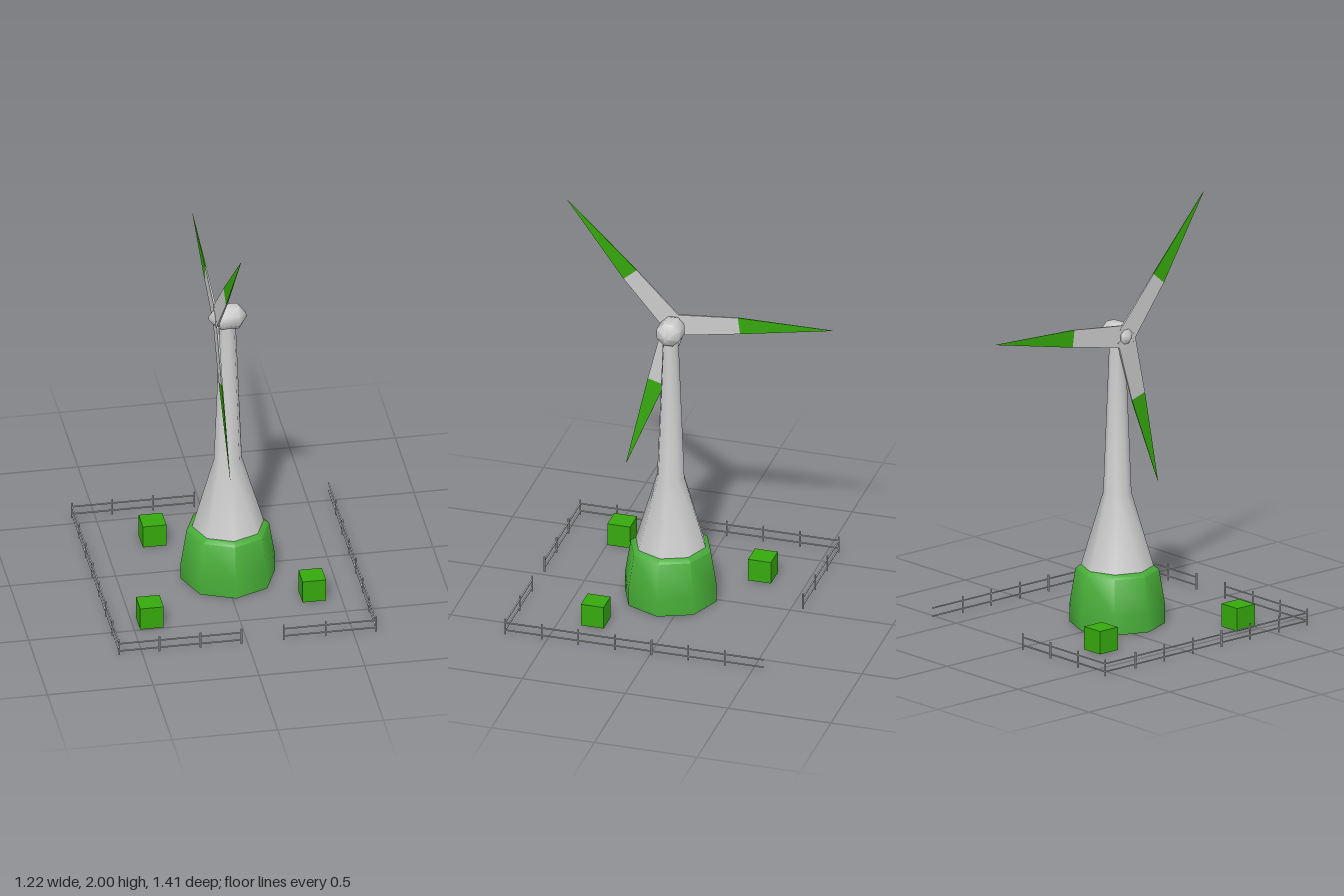
import * as THREE from 'three';
import { toCreasedNormals } from 'three/addons/utils/BufferGeometryUtils.js';

const grey = new THREE.MeshStandardMaterial({ color: 0xcccccc });
const green = new THREE.MeshStandardMaterial({ color: 0x36a80d });
const paleGreen = new THREE.MeshStandardMaterial({ color: 0x48ad38 });

const HUB = new THREE.Vector3(-0.042, 1.402, 0.074);

function add(parent, name, geometry, material, x = 0, y = 0, z = 0) {
  const mesh = new THREE.Mesh(geometry, material);
  mesh.name = name;
  mesh.position.set(x, y, z);
  parent.add(mesh);
  return mesh;
}

// Eight-sided turned body, smooth around, sharp at the rims
function turned(profile) {
  const points = profile.map(([r, y]) => new THREE.Vector2(r, y));
  return toCreasedNormals(new THREE.LatheGeometry(points, 8), 0.9);
}

// Same, laid along the x axis with a flat on top
const turnedAlongX = (profile) =>
  turned(profile).rotateY(Math.PI / 8).rotateZ(-Math.PI / 2);

// Thin tapering slab: each station is [distance, edge, edge, x, half thickness]
function bladeSection(stations) {
  const pos = [], index = [];
  for (const [r, w0, w1, x, t] of stations) {
    pos.push(x - t, w0, r, x + t, w0, r, x + t, w1, r, x - t, w1, r);
  }
  for (let i = 0; i < 4; i++) {
    const j = (i + 1) % 4;
    index.push(i, j, i + 4, j, j + 4, i + 4);
  }
  index.push(0, 2, 1, 0, 3, 2, 4, 5, 6, 4, 6, 7);
  const g = new THREE.BufferGeometry();
  g.setAttribute('position', new THREE.Float32BufferAttribute(pos, 3));
  g.setIndex(index);
  const flat = g.toNonIndexed();
  flat.computeVertexNormals();
  return flat;
}

// Straight fence run between two ground points: two rails, and posts at
// the given distances from the first point
function fence(name, x0, z0, x1, z1, posts) {
  const run = new THREE.Group();
  run.name = name;
  const length = Math.hypot(x1 - x0, z1 - z0);
  const rail = z0 === z1
    ? new THREE.BoxGeometry(length, 0.005, 0.006)
    : new THREE.BoxGeometry(0.006, 0.005, length);
  for (const y of [0.023, 0.062]) {
    add(run, 'rail', rail, grey, (x0 + x1) / 2, y, (z0 + z1) / 2);
  }
  const post = new THREE.CylinderGeometry(0.004, 0.004, 0.08, 8);
  for (const d of posts) {
    const t = d / length;
    add(run, 'post', post, grey, x0 + (x1 - x0) * t, 0.042, z0 + (z1 - z0) * t);
  }
  return run;
}

export function createModel() {
  const model = new THREE.Group();
  model.name = 'windTurbine';

  // Tower
  const tower = new THREE.Group();
  tower.name = 'tower';
  tower.position.set(0.017, 0, 0.075);
  model.add(tower);
  add(tower, 'base', turned([[0, 0.002], [0.223, 0.002], [0.223, 0.09], [0.195, 0.262], [0.172, 0.28], [0, 0.28]]), paleGreen);
  add(tower, 'mast', turned([[0.17, 0.279], [0.066, 0.635], [0.037, 1.37], [0, 1.37]]), grey);

  // Nacelle and hub
  add(model, 'nacelle', turnedAlongX([
    [0, -0.03], [0.052, -0.03], [0.062, -0.008], [0.06, 0.066], [0.012, 0.103], [0, 0.104],
  ]), grey, 0, HUB.y, HUB.z);
  add(model, 'hub', turnedAlongX([
    [0, -0.075], [0.008, -0.074], [0.037, -0.048], [0.034, -0.029], [0, -0.029],
  ]), grey, 0, HUB.y, HUB.z);

  // Three blades with coloured tips
  const root = [0.005, -0.054, 0.053, 0, 0.005];
  const middle = [0.32, -0.048, 0.036, 0.01, 0.003];
  const tip = [0.784, -0.001, 0.001, 0.03, 0.0005];
  const innerBlade = bladeSection([root, middle]);
  const outerBlade = bladeSection([middle, tip]);
  for (const degrees of [49.4, 172.3, 286.8]) {
    const blade = new THREE.Group();
    blade.name = 'blade';
    blade.position.copy(HUB);
    blade.rotation.x = -THREE.MathUtils.degToRad(degrees);
    add(blade, 'bladeRoot', innerBlade, grey);
    add(blade, 'bladeTip', outerBlade, green);
    model.add(blade);
  }

  // Crates
  const crate = new THREE.BoxGeometry(0.111, 0.111, 0.111);
  for (const [x, z] of [[-0.275, -0.285], [-0.417, 0.442], [0.37, 0.334]]) {
    add(model, 'crate', crate, green, x, 0.059, z);
  }

  // Fences around the yard, with gaps at the front and back
  const left = 0.606, right = -0.608, front = 0.703, back = -0.554;
  const sidePosts = Array.from({ length: 7 }, (_, i) => i * 0.178);
  const shortPosts = [0, 0.19, 0.384, 0.578];
  model.add(
    fence('rightFence', right, front, right, back, sidePosts),
    fence('leftFence', left, front, left, back, sidePosts),
    fence('backFence', right, back, -0.03, back, shortPosts),
    fence('frontRightFence', right, front, -0.03, front, shortPosts),
    fence('frontLeftFence', left, front, 0.17, front, [0, 0.237, 0.436]),
  );
  return model;
}
